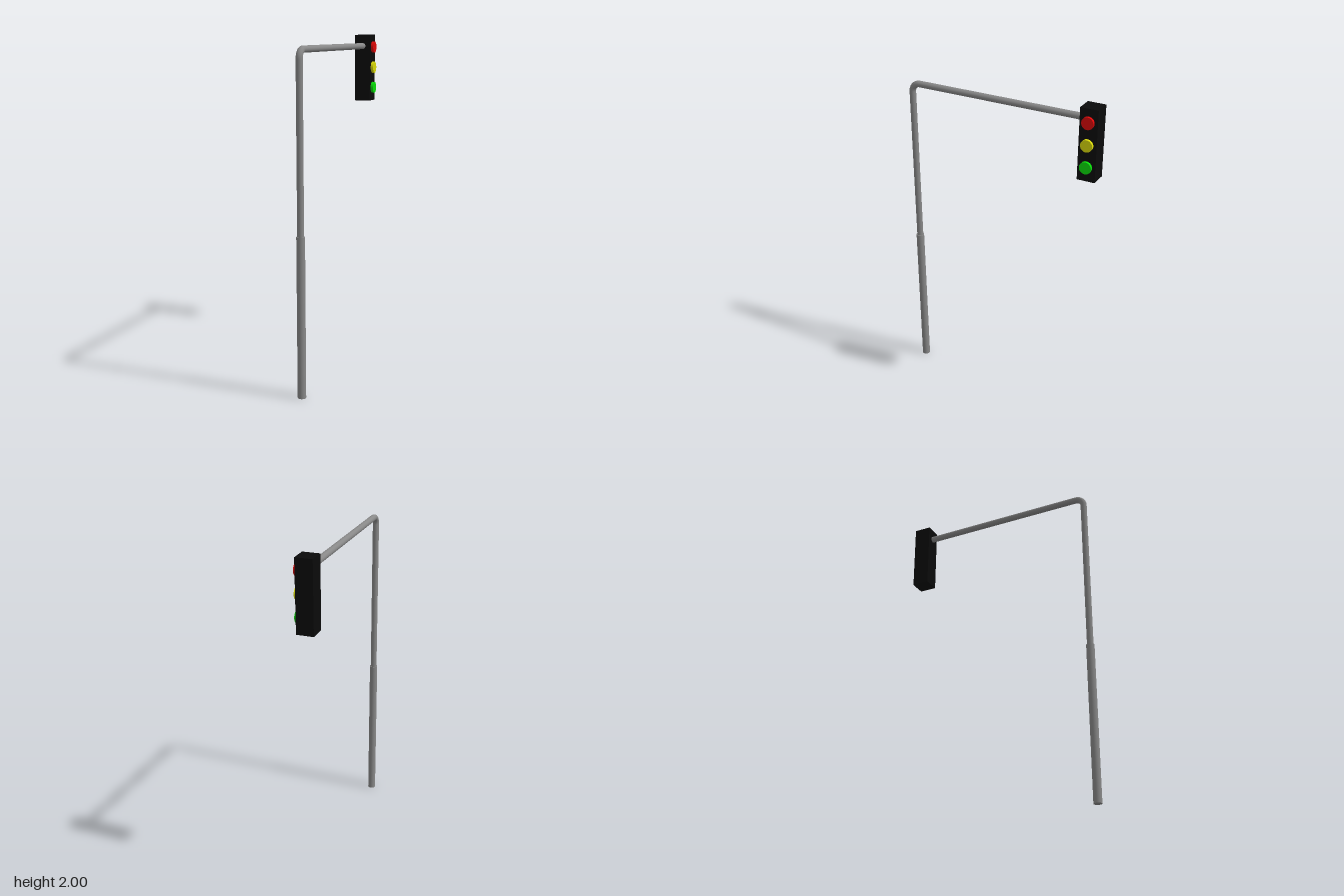
import * as THREE from 'three';

const POLE_X = -0.0085, POLE_Z = 0.578, ARM_Y = 1.93, BEND = 0.05;

function part(name, geometry, color, x = 0, y = 0, z = 0) {
  const mesh = new THREE.Mesh(geometry, new THREE.MeshStandardMaterial({ color }));
  mesh.name = name;
  mesh.position.set(x, y, z);
  return mesh;
}

export function createModel() {
  const model = new THREE.Group();
  model.name = 'trafficLight';
  const grey = 0x888888;

  // Thicker lower sleeve of the pole
  const baseH = 0.927;
  model.add(part('lowerPole', new THREE.CylinderGeometry(0.024, 0.024, baseH, 32), grey, POLE_X, baseH / 2, POLE_Z));

  // Upper pole, rounded bend and arm as one swept tube
  const v = (y, z) => new THREE.Vector3(POLE_X, y, z);
  const path = new THREE.CurvePath();
  path.add(new THREE.LineCurve3(v(baseH - 0.02, POLE_Z), v(ARM_Y - BEND, POLE_Z)));
  const k = BEND * 0.4477; // handle distance from the corner for a circular arc
  path.add(new THREE.CubicBezierCurve3(
    v(ARM_Y - BEND, POLE_Z), v(ARM_Y - k, POLE_Z),
    v(ARM_Y, POLE_Z - k), v(ARM_Y, POLE_Z - BEND)));
  path.add(new THREE.LineCurve3(v(ARM_Y, POLE_Z - BEND), v(ARM_Y, -0.51)));
  model.add(part('upperPoleAndArm', new THREE.TubeGeometry(path, 240, 0.019, 24, false), grey));

  // Signal housing at the end of the arm
  const signal = new THREE.Group();
  signal.name = 'signalHead';
  signal.add(part('housing', new THREE.BoxGeometry(0.099, 0.413, 0.105), 0x0a0a0a, -0.008, 1.7935, -0.5495));

  // Three lamps on the +x side
  const lampGeometry = new THREE.CylinderGeometry(0.035, 0.035, 0.026, 32).rotateZ(-Math.PI / 2);
  [['redLamp', 0xdd0808, 1.923], ['yellowLamp', 0xd8d808, 1.796], ['greenLamp', 0x08dd08, 1.669]]
    .forEach(([name, color, y]) => signal.add(part(name, lampGeometry, color, 0.0445, y, -0.548)));
  model.add(signal);

  return model;
}
